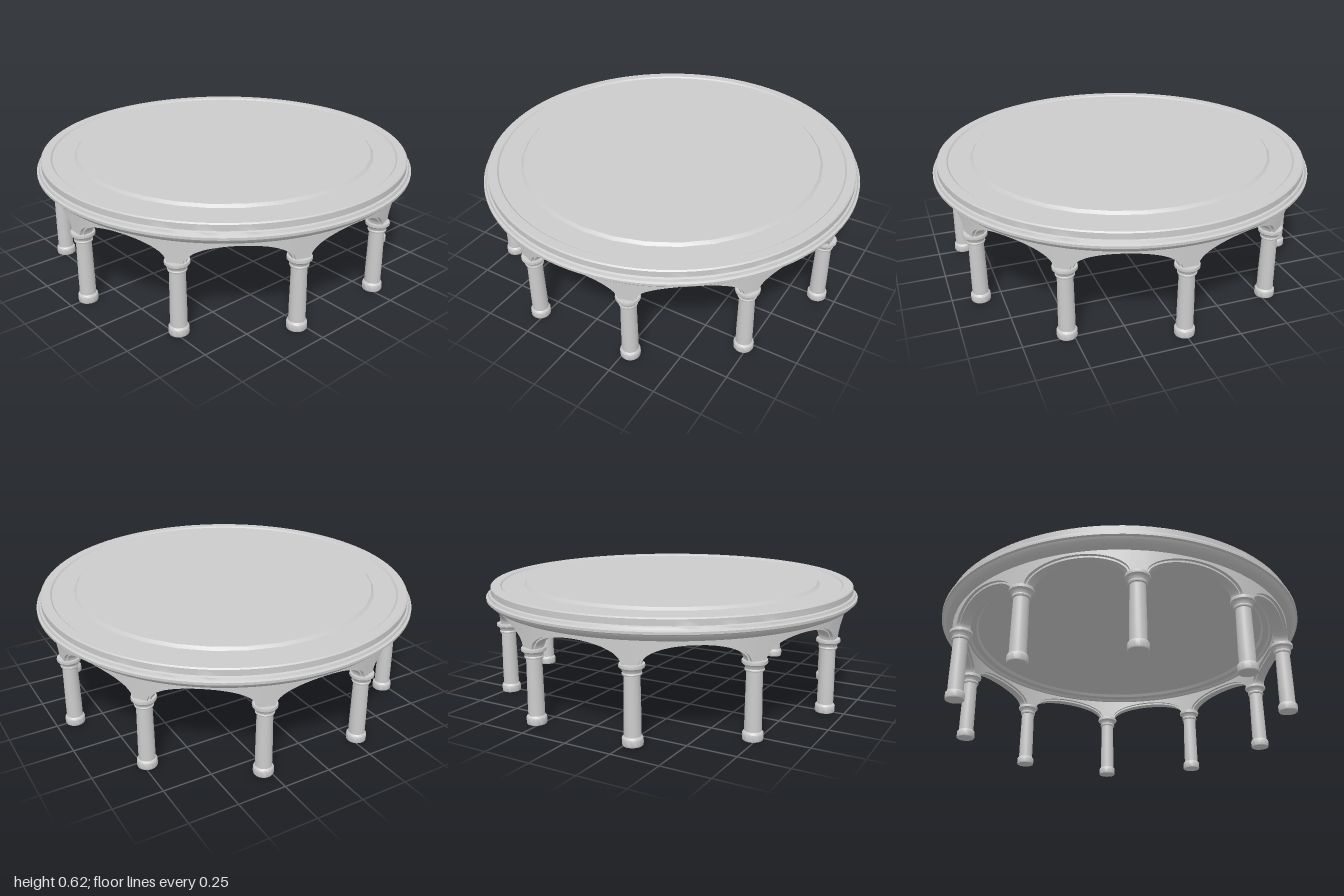
import * as THREE from 'three';
import { toCreasedNormals } from 'three/addons/utils/BufferGeometryUtils.js';

const COLUMNS = 10;
const RADIUS = 0.9;
const SPRING = 0.385;
const BAY = (Math.PI * 2) / COLUMNS;

const material = new THREE.MeshStandardMaterial({ color: 0xcccccc });

function addMesh(parent, geometry, name) {
  const mesh = new THREE.Mesh(geometry, material);
  mesh.name = name;
  parent.add(mesh);
  return mesh;
}

// Turned part from [radius, height] points, running outward below, up, then inward above
function turned(points, segments, crease = 0.5) {
  const profile = points.map(([r, y]) => new THREE.Vector2(r, y));
  return toCreasedNormals(new THREE.LatheGeometry(profile, segments), crease);
}

// Curved wall whose lower edge follows a round of elliptical arches
function arcadeRing(inner, outer, top, apex, pierHalfWidth) {
  const steps = 24;
  const half = BAY / 2 - pierHalfWidth / RADIUS;
  const stations = [];
  for (let bay = 0; bay < COLUMNS; bay++) {
    const middle = (bay + 0.5) * BAY;
    for (let i = 0; i <= steps; i++) {
      const t = (i / steps) * Math.PI;
      stations.push([middle - half * Math.cos(t), SPRING + (apex - SPRING) * Math.sin(t)]);
    }
  }
  const positions = [];
  const indices = [];
  for (const [angle, low] of stations) {
    for (const [r, y] of [[inner, low], [outer, low], [outer, top], [inner, top]]) {
      positions.push(r * Math.sin(angle), y, r * Math.cos(angle));
    }
  }
  for (let i = 0; i < stations.length; i++) {
    const a = i * 4;
    const b = ((i + 1) % stations.length) * 4;
    for (let k = 0; k < 4; k++) {
      const n = (k + 1) % 4;
      indices.push(a + k, b + k, b + n, a + k, b + n, a + n);
    }
  }
  const geometry = new THREE.BufferGeometry();
  geometry.setAttribute('position', new THREE.Float32BufferAttribute(positions, 3));
  geometry.setIndex(indices);
  return toCreasedNormals(geometry, 0.6);
}

export function createModel() {
  const model = new THREE.Group();
  model.name = 'roundArcadeTable';

  // Moulded slab with a shallow recess in its top
  addMesh(model, turned([
    [0, 0.53], [0.8, 0.53], [0.81, 0.515], [0.84, 0.512], [0.85, 0.5],
    [0.94, 0.5], [0.955, 0.508], [0.967, 0.512], [0.982, 0.525], [0.99, 0.538],
    [1, 0.543], [1, 0.555], [0.99, 0.56], [0.985, 0.572], [0.976, 0.576],
    [0.976, 0.606], [0.97, 0.612], [0.925, 0.612], [0.917, 0.605], [0, 0.605],
  ], 96), 'tableSlab');

  // Raised centre panel with a coarser bevelled edge
  addMesh(model, turned([[0.805, 0.604], [0.79, 0.619], [0, 0.619]], 32, 0.3), 'centrePanel');

  // Arches with a recessed lower rib
  addMesh(model, arcadeRing(0.862, 0.938, 0.505, 0.487, 0.037), 'archWall');
  addMesh(model, arcadeRing(0.877, 0.923, 0.502, 0.477, 0.046), 'archRib');

  // Columns, one below each pier
  const base = turned([
    [0, 0], [0.048, 0], [0.05, 0.004], [0.05, 0.034], [0.047, 0.04], [0.04, 0.046], [0, 0.046],
  ], 20);
  const shaft = turned([[0.041, 0.04], [0.041, 0.12], [0.038, 0.345]], 20);
  const capital = turned([
    [0.037, 0.332], [0.045, 0.334], [0.047, 0.341], [0.044, 0.347], [0.046, 0.356],
    [0.053, 0.366], [0.06, 0.37], [0.061, 0.378], [0.059, 0.386], [0, 0.386],
  ], 20);
  for (let i = 0; i < COLUMNS; i++) {
    const column = new THREE.Group();
    column.name = `column${i + 1}`;
    addMesh(column, base, 'columnBase');
    addMesh(column, shaft, 'columnShaft');
    addMesh(column, capital, 'columnCapital');
    column.position.set(RADIUS * Math.sin(i * BAY), 0, RADIUS * Math.cos(i * BAY));
    column.rotation.y = i * BAY;
    model.add(column);
  }

  return model;
}
